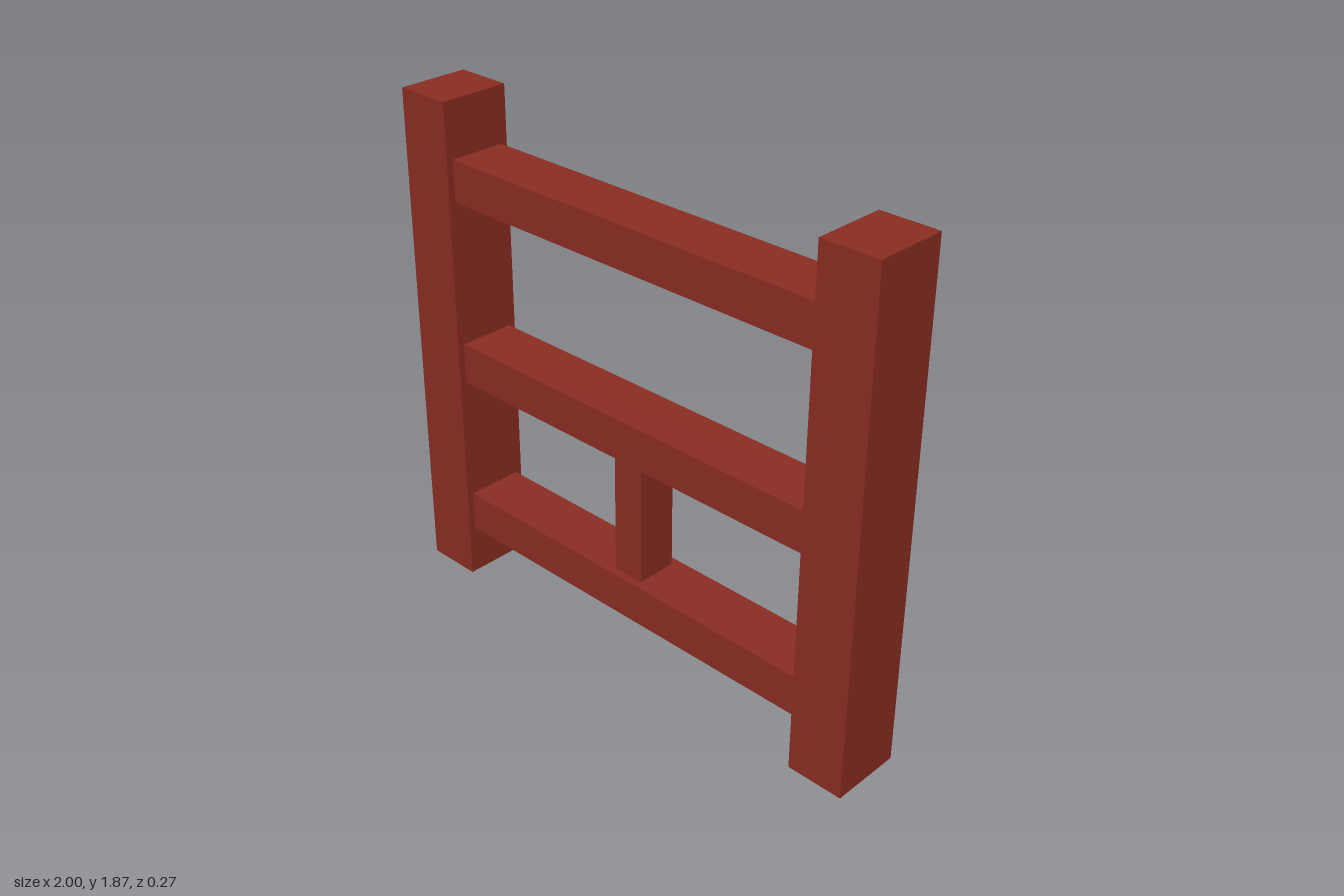
import * as THREE from 'three';

export function createModel() {
  const model = new THREE.Group();
  const redWood = new THREE.MeshStandardMaterial({ color: 0x8b2d23 });
  redWood.name = 'redWood';

  // A square-edged timber standing on the height y0
  function beam(name, width, height, depth, x, y0) {
    const mesh = new THREE.Mesh(new THREE.BoxGeometry(width, height, depth), redWood);
    mesh.name = name;
    mesh.position.set(x, y0 + height / 2, 0);
    model.add(mesh);
  }

  // End posts
  const postWidth = 0.213;
  for (const [side, name] of [[1, 'leftPost'], [-1, 'rightPost']]) {
    beam(name, postWidth, 1.873, 0.267, side * (1 - postWidth / 2), 0);
  }

  // Horizontal rails between the posts
  const railLength = 2 - 2 * postWidth;
  const railHeight = 0.153;
  const rails = { lowerRail: 0.192, middleRail: 0.819, upperRail: 1.513 };
  for (const [name, y0] of Object.entries(rails)) {
    beam(name, railLength, railHeight, 0.214, 0, y0);
  }

  // Short strut between the lower and middle rails
  const strutBase = rails.lowerRail + railHeight;
  beam('centreStrut', 0.122, rails.middleRail - strutBase, 0.154, 0, strutBase);

  return model;
}
